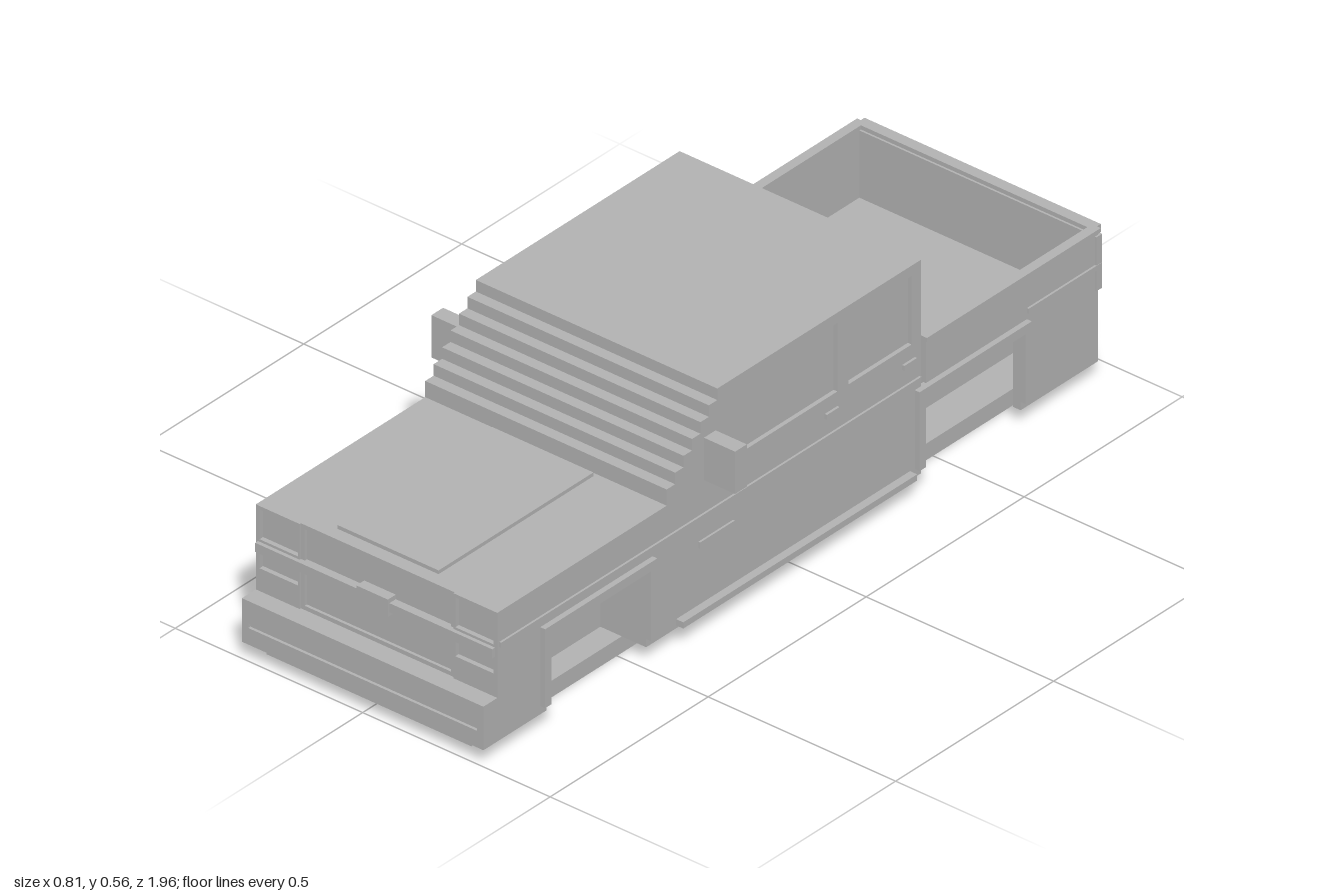
import * as THREE from 'three';

const paint = new THREE.MeshStandardMaterial({ color: 0xb4b4b4 });
paint.name = 'grey paint';

export function createModel() {
  const truck = new THREE.Group();
  truck.name = 'pickupTruck';

  function add(name, geometry) {
    const mesh = new THREE.Mesh(geometry, paint);
    mesh.name = name;
    truck.add(mesh);
  }
  // Box given by its limits on each axis
  function box(name, x0, x1, y0, y1, z0, z1) {
    const g = new THREE.BoxGeometry(x1 - x0, y1 - y0, z1 - z0);
    g.translate((x0 + x1) / 2, (y0 + y1) / 2, (z0 + z1) / 2);
    add(name, g);
  }
  // The same box on both sides of the truck
  function pair(name, x0, x1, y0, y1, z0, z1) {
    box(name + 'Left', x0, x1, y0, y1, z0, z1);
    box(name + 'Right', -x1, -x0, y0, y1, z0, z1);
  }
  const toShape = (pts) => new THREE.Shape(pts.map(([a, b]) => new THREE.Vector2(a, b)));
  const rect = (a0, a1, b0, b1) => [[a0, b0], [a1, b0], [a1, b1], [a0, b1]];
  // Side outline in (z, y), extruded from x0 to x1
  function slab(name, pts, x0, x1, holes = []) {
    const shape = toShape(pts);
    holes.forEach((h) => shape.holes.push(toShape(h)));
    const g = new THREE.ExtrudeGeometry(shape, { depth: x1 - x0, bevelEnabled: false });
    g.rotateY(-Math.PI / 2).translate(x1, 0, 0);
    add(name, g);
  }
  function slabPair(name, pts, x0, x1, holes) {
    slab(name + 'Left', pts, x0, x1, holes);
    slab(name + 'Right', pts, -x1, -x0, holes);
  }
  // Flat frame in (x, y) with one or more openings
  function frame(name, outer, holes, z0, z1) {
    const shape = toShape(outer);
    holes.forEach((h) => shape.holes.push(toShape(h)));
    const g = new THREE.ExtrudeGeometry(shape, { depth: z1 - z0, bevelEnabled: false });
    add(name, g.translate(0, 0, z0));
  }

  // Chassis
  box('chassisPlate', -0.257, 0.257, 0, 0.04, -0.91, 0.88);

  // Cab with stepped windscreen, side skins hold the window recesses
  const cab = [[-0.385, 0.04], [0.42, 0.04], [0.42, 0.389]];
  for (let k = 1; k < 7; k++) {
    const z = 0.42 - 0.0267 * k;
    const y = 0.389 + 0.0277 * k;
    cab.push([z, y - 0.0277], [z, y]);
  }
  cab.push([-0.385, 0.555]);
  slab('cab', cab, -0.312, 0.312);
  slabPair('cabSide', cab, 0.312, 0.322, [
    rect(-0.12, 0.24, 0.365, 0.53),
    rect(-0.355, -0.155, 0.365, 0.53),
  ]);
  pair('mirror', 0.322, 0.405, 0.355, 0.457, 0.265, 0.302);
  pair('frontDoorHandle', 0.322, 0.328, 0.318, 0.33, -0.12, -0.08);
  pair('rearDoorHandle', 0.322, 0.328, 0.318, 0.33, -0.365, -0.325);
  pair('rockerPanel', 0.322, 0.341, 0.047, 0.062, -0.35, 0.39);
  pair('doorTrim', 0.322, 0.327, 0.265, 0.277, -0.38, 0.42);
  pair('fenderBadge', 0.322, 0.327, 0.2, 0.215, 0.21, 0.32);

  // Engine bay and front fenders with wheel openings
  box('engineBay', -0.2, 0.2, 0.04, 0.35, 0.42, 0.945);
  slabPair('frontFender', [
    [0.42, 0.04], [0.485, 0.04], [0.485, 0.225], [0.8, 0.225],
    [0.8, 0.04], [0.945, 0.04], [0.945, 0.35], [0.42, 0.35],
  ], 0.2, 0.322);
  box('hoodPanel', -0.135, 0.135, 0.35, 0.359, 0.43, 0.92);
  pair('fenderTrim', 0.322, 0.327, 0.265, 0.277, 0.42, 0.95);

  // Wheel arch trims
  const arch = (z0, z1) => [
    [z0, 0.06], [z0 + 0.02, 0.06], [z0 + 0.02, 0.228], [z1 - 0.02, 0.228],
    [z1 - 0.02, 0.06], [z1, 0.06], [z1, 0.25], [z0, 0.25],
  ];
  slabPair('frontArchTrim', arch(0.465, 0.82), 0.315, 0.335);
  slabPair('rearArchTrim', arch(-0.72, -0.365), 0.315, 0.335);

  // Grille and lights
  frame('grilleFrame', rect(-0.205, 0.205, 0.145, 0.35),
    [rect(-0.195, 0.195, 0.155, 0.34)], 0.945, 0.952);
  for (const s of [1, -1]) {
    const name = s > 0 ? 'Left' : 'Right';
    const across = (a, b, y0, y1) => rect(Math.min(s * a, s * b), Math.max(s * a, s * b), y0, y1);
    frame('headlightFrame' + name, across(0.205, 0.322, 0.145, 0.35),
      [across(0.21, 0.312, 0.27, 0.342), across(0.21, 0.312, 0.2, 0.242)], 0.945, 0.956);
  }
  box('grilleBar', -0.316, 0.316, 0.242, 0.264, 0.945, 0.965);
  box('grillePlate', -0.042, 0.042, 0.233, 0.275, 0.945, 0.97);

  // Front bumper with a shallow groove
  box('frontBumper', -0.322, 0.322, 0.04, 0.145, 0.945, 0.993);
  frame('bumperFace', rect(-0.322, 0.322, 0.04, 0.145),
    [rect(-0.305, 0.305, 0.08, 0.091)], 0.993, 1);
  box('frontLip', -0.273, 0.273, 0.02, 0.04, 0.935, 0.98);

  // Cargo bed
  slabPair('bedSide', [
    [-0.945, 0.04], [-0.7, 0.04], [-0.7, 0.225], [-0.4, 0.225],
    [-0.4, 0.35], [-0.945, 0.35],
  ], 0.302, 0.322);
  box('bedFloor', -0.302, 0.302, 0.17, 0.188, -0.93, -0.41);
  box('bedFrontWall', -0.302, 0.302, 0.17, 0.35, -0.42, -0.4);
  box('tailgate', -0.302, 0.302, 0.1, 0.35, -0.945, -0.93);
  pair('wheelHousing', 0.2, 0.302, 0.188, 0.24, -0.705, -0.42);
  pair('bedRail', 0.302, 0.325, 0.35, 0.36, -0.95, -0.4);
  box('bedFrontRail', -0.302, 0.302, 0.35, 0.36, -0.42, -0.4);
  box('bedRearRail', -0.315, 0.315, 0.35, 0.36, -0.962, -0.935);
  pair('bedTrim', 0.322, 0.327, 0.265, 0.277, -0.95, -0.72);
  pair('tailLight', 0.265, 0.326, 0.215, 0.345, -0.953, -0.935);
  box('plateHolder', -0.07, 0.07, 0.11, 0.16, -0.949, -0.945);

  // Rear bumper with a lower centre step
  pair('rearBumper', 0.08, 0.302, 0.042, 0.075, -0.95, -0.905);
  box('rearBumperStep', -0.08, 0.08, 0.04, 0.066, -0.95, -0.905);

  return truck;
}
